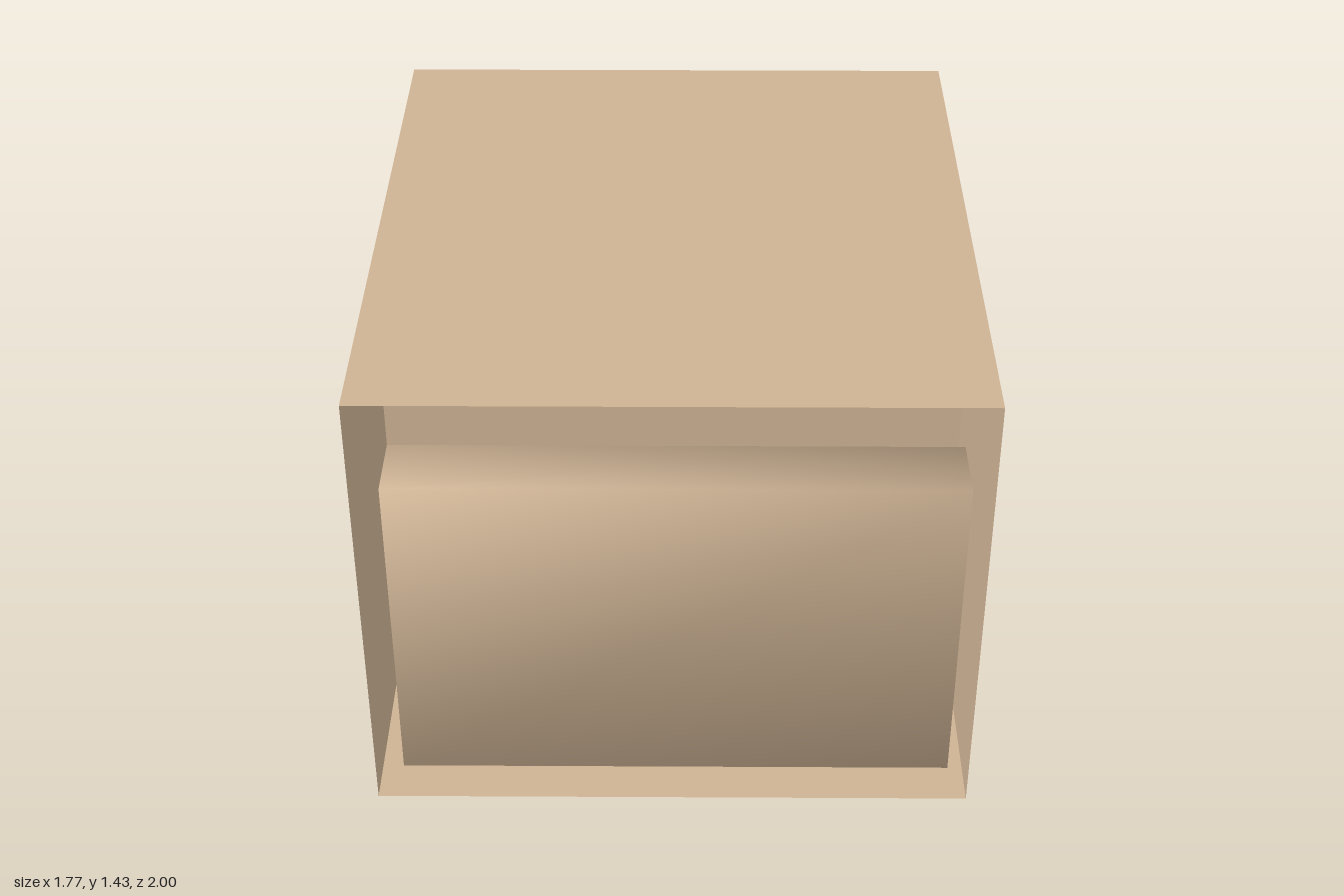
import * as THREE from 'three';

const W = 0.885, H = 1.43;              // outer shell half width, height
const IW = 0.81, FLOOR = 0.07, CEIL = 1.36, FRONT = 0.73; // inner room
const DOOR = { back: -0.82, front: -0.1, top: 0.9 };

const mat = (name, color) => {
  const m = new THREE.MeshStandardMaterial({ color, side: THREE.DoubleSide });
  m.name = name;
  return m;
};

// rectangle outline, used for shapes and holes
const rect = (target, x0, y0, x1, y1) => {
  target.moveTo(x0, y0);
  target.lineTo(x1, y0);
  target.lineTo(x1, y1);
  target.lineTo(x0, y1);
  target.closePath();
  return target;
};

export function createModel() {
  const tan = mat('tan wall', 0xceb394);
  const blue = mat('blue rim', 0x466082);
  const brown = mat('brown jamb', 0x8a705a);
  const red = mat('red brown floor', 0x5c3b34);
  const dark = mat('dark slate', 0x413d4f);
  const orange = mat('orange', 0x986310);

  const model = new THREE.Group();
  const add = (name, geo, m) => {
    const mesh = new THREE.Mesh(geo, m);
    mesh.name = name;
    model.add(mesh);
    return mesh;
  };

  // horizontal sheet at height y
  const sheet = (name, y, halfW, z0, z1, m, up) => {
    const g = new THREE.PlaneGeometry(halfW * 2, z1 - z0);
    g.rotateX(up ? -Math.PI / 2 : Math.PI / 2);
    add(name, g.translate(0, y, (z0 + z1) / 2), m);
  };

  // side wall sheet with a doorway
  const sideWall = (name, x, y0, y1, z1) => {
    const s = rect(new THREE.Shape(), -1, y0, z1, y1);
    s.holes.push(rect(new THREE.Path(), DOOR.back, FLOOR + 0.001, DOOR.front, DOOR.top));
    const g = new THREE.ShapeGeometry(s).rotateY(-Math.PI / 2);
    add(name, g.translate(x, 0, 0), tan);
  };

  // outer shell, open at the front
  sheet('roof', H, W, -1, 1, tan, true);
  sheet('underside', 0, W, -1, 1, tan, false);

  // inner room
  sheet('floor', FLOOR, IW, -1, FRONT, red, true);
  sheet('ceiling', CEIL, IW, -1, FRONT, dark, false);
  const frontWall = new THREE.PlaneGeometry(IW * 2, CEIL - FLOOR);
  add('frontWall', frontWall.translate(0, (CEIL + FLOOR) / 2, FRONT), tan);

  // walls and doorway linings on both sides
  for (const side of [-1, 1]) {
    sideWall('outerWall', side * W, 0, H, 1);
    sideWall('innerWall', side * IW, FLOOR, CEIL, FRONT);
    const depth = W - IW, cx = side * (W + IW) / 2;
    const dz = DOOR.front - DOOR.back, dy = DOOR.top - FLOOR;
    const cz = (DOOR.front + DOOR.back) / 2, cy = (DOOR.top + FLOOR) / 2;
    for (const z of [DOOR.back, DOOR.front])
      add('doorJamb', new THREE.PlaneGeometry(depth, dy).translate(cx, cy, z), brown);
    for (const y of [FLOOR, DOOR.top])
      add('doorLining', new THREE.PlaneGeometry(depth, dz).rotateX(-Math.PI / 2).translate(cx, y, cz), brown);
  }

  // rim joining the two shells at the back
  const rim = rect(new THREE.Shape(), -W, 0, W, H);
  rim.holes.push(rect(new THREE.Path(), -IW, FLOOR, IW, CEIL));
  add('backRim', new THREE.ShapeGeometry(rim).translate(0, 0, -1), blue);

  // framed panel inside, on the front wall
  add('panelFrame', new THREE.BoxGeometry(1.12, 0.81, 0.006).translate(0, 0.48, FRONT - 0.005), orange);
  add('panelCentre', new THREE.BoxGeometry(0.68, 0.77, 0.006).translate(0, 0.46, FRONT - 0.01), dark);

  // front block with softly averaged corner normals
  const block = new THREE.BoxGeometry(1.64, 1.04, 0.21);
  const p = block.attributes.position, n = block.attributes.normal, k = 1 / Math.sqrt(3);
  for (let i = 0; i < p.count; i++)
    n.setXYZ(i, Math.sign(p.getX(i)) * k, Math.sign(p.getY(i)) * k, Math.sign(p.getZ(i)) * k);
  add('frontBlock', block, tan).position.set(0.01, 0.59, 0.836);

  return model;
}
